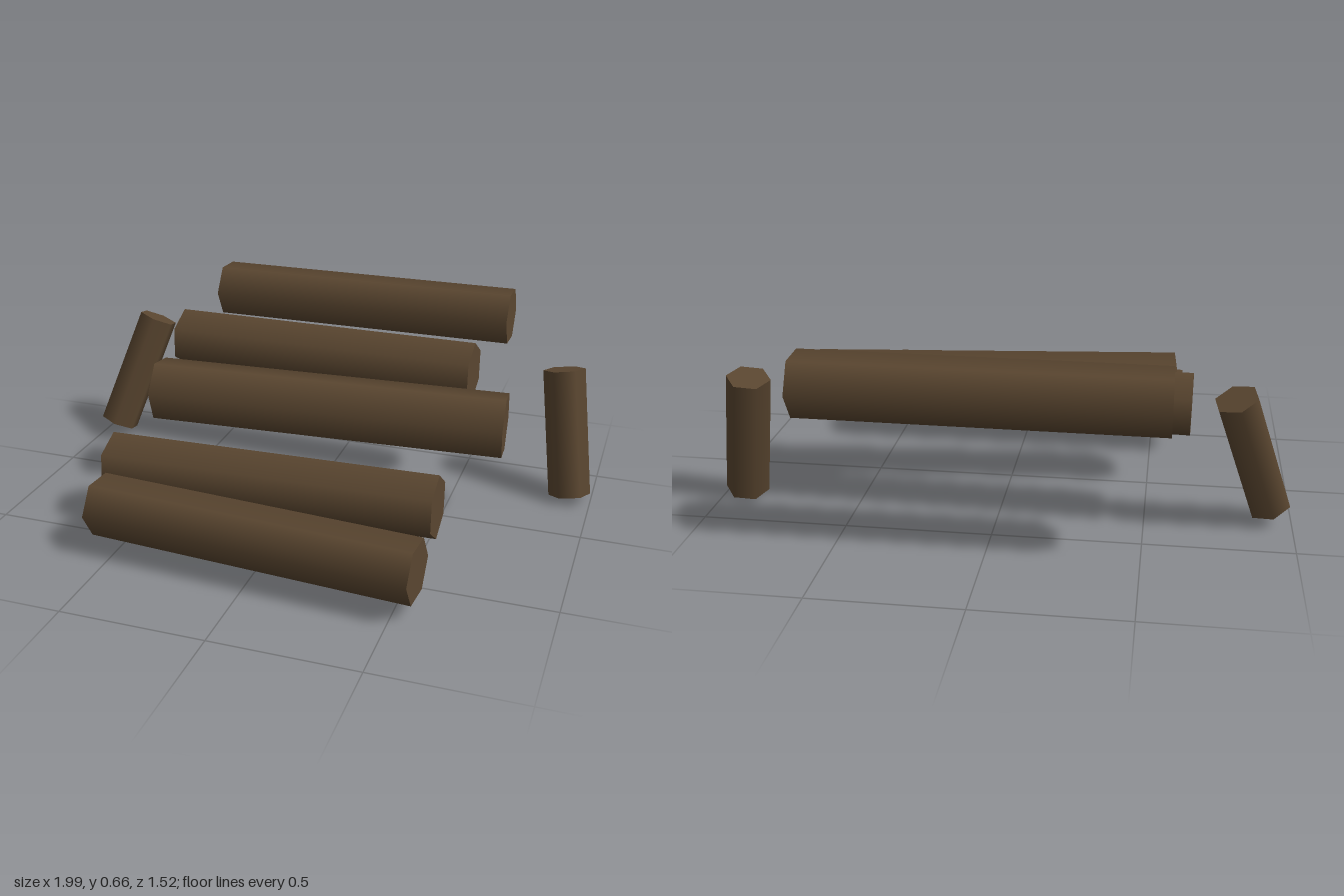
import * as THREE from 'three';

const wood = new THREE.MeshStandardMaterial({ color: 0x5a4630 });
wood.name = 'brown wood';

// Six-sided log from point a to point b; corner is the direction of one hexagon corner
function makeLog(name, a, b, radius, corner) {
  const start = new THREE.Vector3(...a);
  const end = new THREE.Vector3(...b);
  const axis = end.clone().sub(start);
  const length = axis.length();
  axis.normalize();
  const z = new THREE.Vector3(...corner);
  z.addScaledVector(axis, -z.dot(axis)).normalize();
  const x = new THREE.Vector3().crossVectors(axis, z);
  const mesh = new THREE.Mesh(new THREE.CylinderGeometry(radius, radius, length, 6), wood);
  mesh.name = name;
  mesh.quaternion.setFromRotationMatrix(new THREE.Matrix4().makeBasis(x, axis, z));
  mesh.position.copy(start).add(end).multiplyScalar(0.5);
  return mesh;
}

export function createModel() {
  const group = new THREE.Group();
  group.name = 'logSteps';
  const parts = [
    // Steps, rising from front to back
    ['stepLog1', [-0.575, 0.145, 0.565], [0.57, 0.145, 0.65], 0.108, [0, 0, 1]],
    ['stepLog2', [-0.613, 0.207, 0.368], [0.565, 0.226, 0.368], 0.112, [0, 1, -0.12]],
    ['stepLog3', [-0.585, 0.365, 0.033], [0.7, 0.353, -0.067], 0.119, [0, 0.17, 1]],
    ['stepLog4', [-0.643, 0.432, -0.34], [0.533, 0.442, -0.305], 0.112, [0, 1, -0.06]],
    ['stepLog5', [-0.582, 0.55, -0.648], [0.604, 0.554, -0.648], 0.11, [0, 0.06, 1]],
    // Leaning side posts
    ['rightPost', [-0.922, 0.052, -0.265], [-0.784, 0.477, -0.394], 0.076, [-0.006, 0, -0.071]],
    ['leftPost', [0.922, 0.013, -0.28], [0.853, 0.467, -0.377], 0.076, [0.027, 0, -0.072]],
  ];
  for (const part of parts) group.add(makeLog(...part));
  return group;
}
